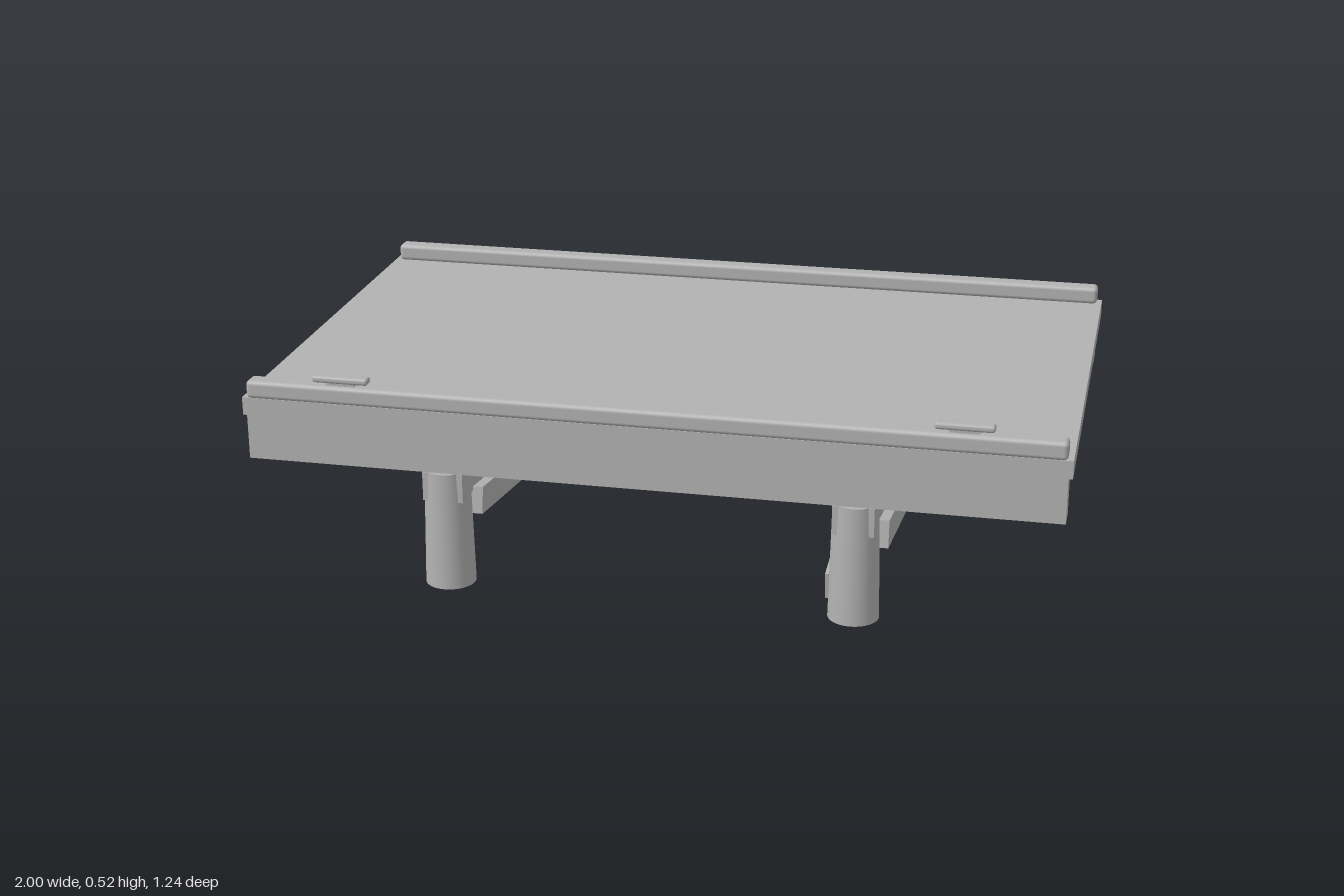
import * as THREE from 'three';
import { RoundedBoxGeometry } from 'three/addons/geometries/RoundedBoxGeometry.js';

export function createModel() {
  const group = new THREE.Group();
  group.name = 'dock';
  const grey = new THREE.MeshStandardMaterial({ color: 0xb2b2b2 });
  grey.name = 'weathered grey';

  function add(name, geometry, x, y, z, parent = group) {
    const mesh = new THREE.Mesh(geometry, grey);
    mesh.name = name;
    mesh.position.set(x, y, z);
    parent.add(mesh);
    return mesh;
  }

  // Flat deck
  add('deck', new THREE.BoxGeometry(2, 0.045, 1.2), 0, 0.4325, 0);

  // Long side beams and the rounded edge rails above them
  const beam = new THREE.BoxGeometry(1.98, 0.112, 0.07);
  const rail = new RoundedBoxGeometry(1.975, 0.045, 0.05, 3, 0.011);
  for (const s of [1, -1]) {
    add('sideBeam', beam, 0, 0.354, s * 0.565);
    add('edgeRail', rail, 0, 0.477, s * 0.581);
  }

  // Mooring cleats on the front rail
  const cleatFoot = new THREE.BoxGeometry(0.07, 0.016, 0.02);
  const cleatBar = new RoundedBoxGeometry(0.14, 0.017, 0.031, 2, 0.007);
  for (const s of [1, -1]) {
    const cleat = new THREE.Group();
    cleat.name = 'cleat';
    cleat.position.set(s * 0.75, 0, 0.583);
    add('cleatFoot', cleatFoot, 0, 0.504, 0, cleat);
    add('cleatBar', cleatBar, 0, 0.514, 0, cleat);
    group.add(cleat);
  }

  // Trestles: two tapered posts, a cap beam and a pair of crossed braces
  const post = new THREE.CylinderGeometry(0.055, 0.062, 0.298, 32);
  const cap = new THREE.BoxGeometry(0.1, 0.073, 1.2);
  const brace = new THREE.BoxGeometry(0.04, 0.068, 1.05);
  for (const x of [0.5, -0.5]) {
    const trestle = new THREE.Group();
    trestle.name = 'trestle';
    trestle.position.x = x;
    add('capBeam', cap, 0, 0.2605, 0, trestle);
    for (const s of [1, -1]) {
      add('post', post, 0, 0.149, s * 0.558, trestle);
      add('crossBrace', brace, s * 0.055, 0.127, 0, trestle).rotation.x = -s * 0.141;
    }
    group.add(trestle);
  }
  return group;
}
